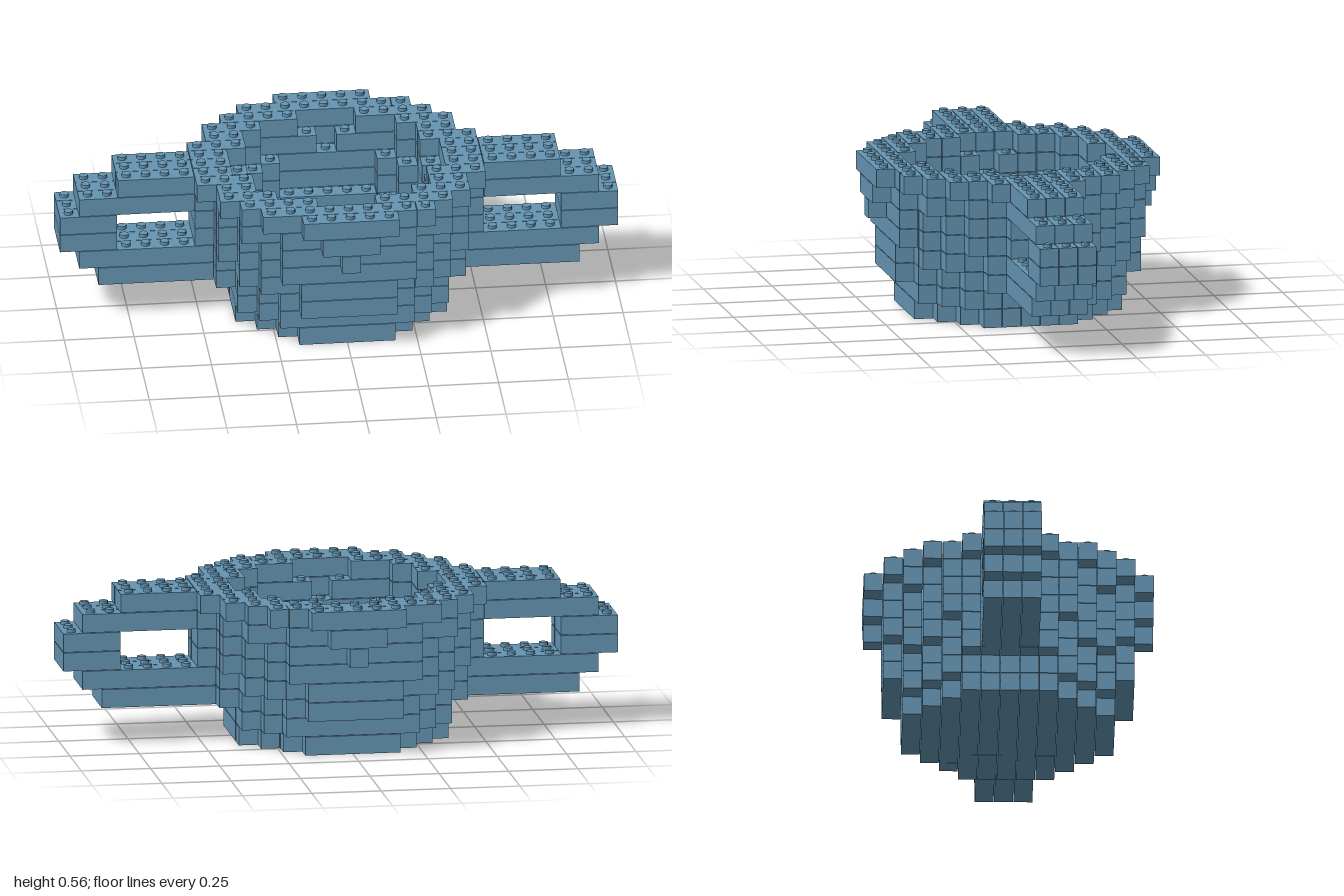
import * as THREE from 'three';
import { mergeGeometries } from 'three/addons/utils/BufferGeometryUtils.js';

const P = 2 / 29;       // brick pitch, also the layer height
const GAP = 0.002;      // thin seam between bricks
const MAX_RUN = 8;      // longest brick, in studs

// One entry per layer: squared outer radius of the bowl, squared radius of its hollow,
// the span of each handle in cells, and whether a lug widens the wall behind the handle gap
const LAYERS = [
  { outer: 29, hollow: -1 },
  { outer: 34, hollow: -1 },
  { outer: 40, hollow: -1, handle: [6, 12] },
  { outer: 41, hollow: 13, handle: [6, 13] },
  { outer: 45, hollow: 20, handle: [12, 14], lug: true },
  { outer: 49, hollow: 20, handle: [12, 14], lug: true },
  { outer: 50, hollow: 25, handle: [7, 13] },
  { outer: 53, hollow: 26, handle: [7, 11] },
];

// Which part fills a cell, or null where it is empty
function partAt(x, layer, z) {
  const L = LAYERS[layer];
  if (!L) return null;
  const r2 = x * x + z * z, ax = Math.abs(x);
  if (r2 <= L.outer && r2 > L.hollow) return layer < 2 ? 'base' : 'bowl';
  if (Math.abs(z) > 1) return null;
  if (L.lug && ax === 7) return 'bowl';
  if (L.handle && ax >= L.handle[0] && ax <= L.handle[1]) return x > 0 ? 'leftHandle' : 'rightHandle';
  return null;
}

export function createModel() {
  const model = new THREE.Group();
  const blue = new THREE.MeshStandardMaterial({ color: 0x6595b3 });
  blue.name = 'dusty blue';

  const bricks = {}, studs = {};
  const add = (store, part, geo) => (store[part] ??= []).push(geo);

  LAYERS.forEach((_, layer) => {
    for (let z = -7; z <= 7; z++) {
      // Join neighbouring cells of a row into bricks
      let start = -15;
      for (let x = -14; x <= 15; x++) {
        const here = x <= 14 ? partAt(x, layer, z) : null;
        const before = start >= -14 ? partAt(start, layer, z) : null;
        if (before && (here !== before || x - start >= MAX_RUN)) {
          const n = x - start;
          const box = new THREE.BoxGeometry(n * P - GAP, P - GAP, P - GAP);
          box.translate((start + (n - 1) / 2) * P, (layer + 0.5) * P, z * P);
          add(bricks, before, box);
          start = x;
        } else if (here !== before) start = x;

        // A stud on every uncovered top
        if (here && !partAt(x, layer + 1, z)) {
          const stud = new THREE.CylinderGeometry(0.016, 0.016, 0.012, 12);
          stud.translate(x * P, (layer + 1) * P + 0.005, z * P);
          add(studs, here, stud);
        }
      }
    }
  });

  // Bricks and studs of each part
  for (const part of Object.keys(bricks)) {
    const group = new THREE.Group();
    group.name = part;
    for (const [name, store] of [['Bricks', bricks], ['Studs', studs]]) {
      if (!store[part]) continue;
      const mesh = new THREE.Mesh(mergeGeometries(store[part]), blue);
      mesh.name = part + name;
      group.add(mesh);
    }
    model.add(group);
  }
  return model;
}
